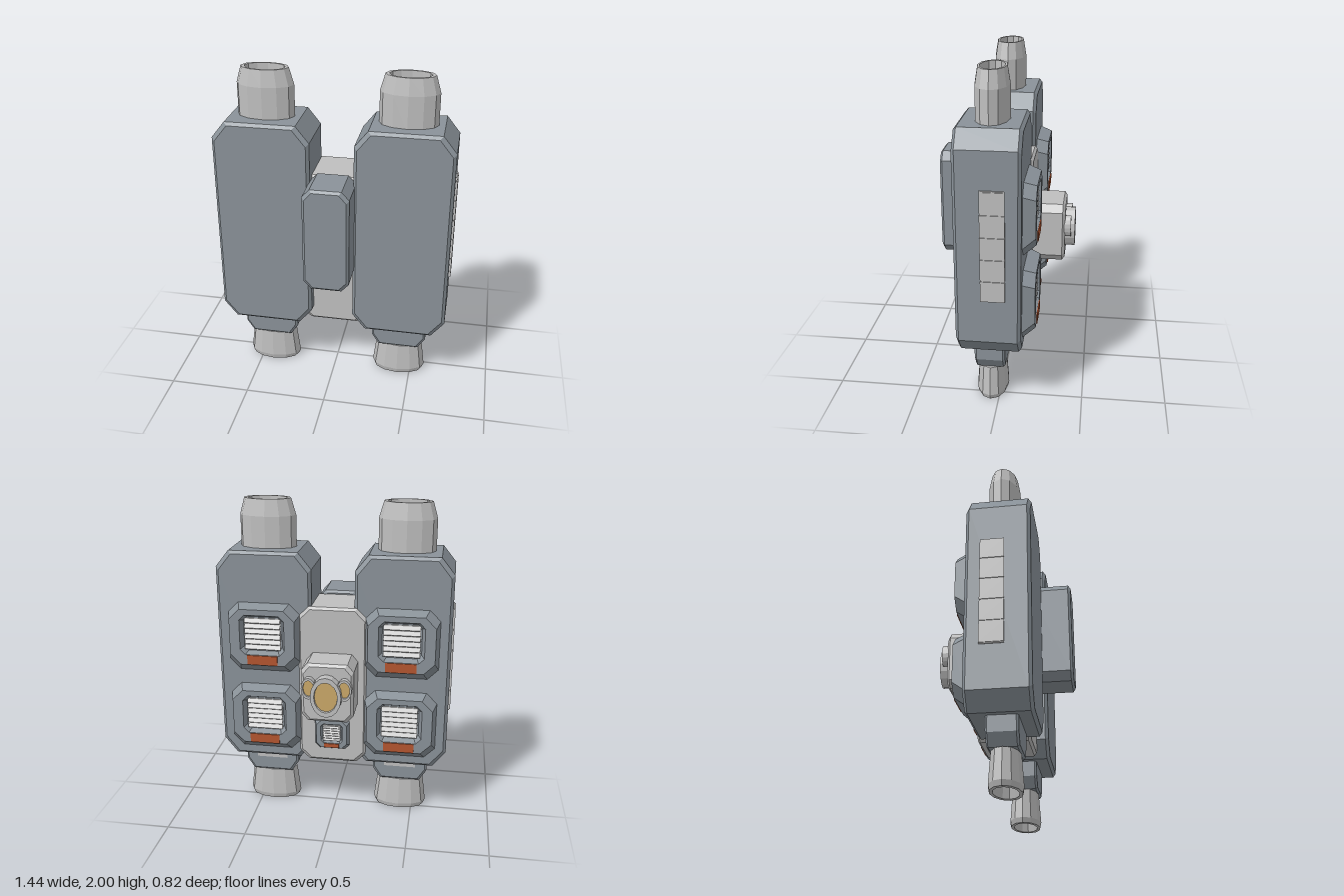
import * as THREE from 'three';

const mat = (name, color) => {
  const m = new THREE.MeshStandardMaterial({ color });
  m.name = name;
  return m;
};

// Octagon loop (rectangle with cut corners), counter-clockwise seen from +z
function oct(x0, x1, y0, y1, cx, cy, z) {
  return [
    [x0 + cx, y0, z], [x1 - cx, y0, z], [x1, y0 + cy, z], [x1, y1 - cy, z],
    [x1 - cx, y1, z], [x0 + cx, y1, z], [x0, y1 - cy, z], [x0, y0 + cy, z],
  ];
}

// Flat-shaded skin over a row of loops, capped at both ends
function loft(loops) {
  const p = [];
  const n = loops[0].length;
  const tri = (a, b, c) => p.push(...a, ...b, ...c);
  for (let k = 0; k + 1 < loops.length; k++) {
    const a = loops[k], b = loops[k + 1];
    for (let i = 0; i < n; i++) {
      const j = (i + 1) % n;
      tri(a[i], a[j], b[j]);
      tri(a[i], b[j], b[i]);
    }
  }
  const first = loops[0], last = loops[loops.length - 1];
  for (let i = 1; i + 1 < n; i++) {
    tri(first[0], first[i + 1], first[i]);
    tri(last[0], last[i], last[i + 1]);
  }
  const g = new THREE.BufferGeometry();
  g.setAttribute('position', new THREE.Float32BufferAttribute(p, 3));
  g.computeVertexNormals();
  return g;
}

// Octagonal block with a bevel b at its back and front ends
function block(x0, x1, y0, y1, cx, cy, z0, z1, b) {
  const inner = z => oct(x0 + b, x1 - b, y0 + b, y1 - b, cx, cy, z);
  const outer = z => oct(x0, x1, y0, y1, cx, cy, z);
  return loft([inner(z0), outer(z0 + b), outer(z1 - b), inner(z1)]);
}

// Faceted turned shape
function turned(points, segments = 12) {
  const g = new THREE.LatheGeometry(points.map(q => new THREE.Vector2(...q)), segments).toNonIndexed();
  g.computeVertexNormals();
  return g;
}

export function createModel() {
  const root = new THREE.Group();
  root.name = 'thrusterPack';

  const hull = mat('blue grey hull', 0x8a9299);
  const light = mat('light grey metal', 0xbfbfbf);
  const gold = mat('amber glass', 0xcaa868);
  const orange = mat('orange marking', 0xb4552f);
  const teal = mat('teal glow', 0x1f8296);

  const add = (parent, name, geometry, material, x = 0, y = 0, z = 0) => {
    const m = new THREE.Mesh(geometry, material);
    m.name = name;
    m.position.set(x, y, z);
    parent.add(m);
    return m;
  };

  // Recessed louvre vent, built facing +z then turned to the back
  function vent(name, x, y, z, o) {
    const g = new THREE.Group();
    g.name = name;
    g.position.set(x, y, z);
    g.rotation.y = Math.PI;
    const { w, top, bottom, slopeX, slopeTop, slopeBottom, depth, cut, hw, hh, hy } = o;
    const fw = w - slopeX, d = depth;
    add(g, 'ventHousing', loft([
      oct(-w, w, -bottom, top, cut, cut, 0),
      oct(-fw, fw, -bottom + slopeBottom, top - slopeTop, cut, cut, d),
      oct(-hw, hw, hy - hh, hy + hh, cut * 0.5, cut * 0.5, d),
      oct(-hw * 0.86, hw * 0.86, hy - hh * 0.86, hy + hh * 0.86, cut * 0.4, cut * 0.4, d * 0.5),
    ]), hull);
    add(g, 'ventBackPlate', new THREE.BoxGeometry(hw * 1.6, hh * 1.6, 0.006), light, 0, hy, d * 0.5 + 0.003);
    const slats = 6, step = hh * 1.6 / slats;
    for (let i = 0; i < slats; i++) {
      const s = add(g, 'ventSlat', new THREE.BoxGeometry(hw * 1.6, step * 0.75, 0.01), light,
        0, hy + (i - (slats - 1) / 2) * step, d * 0.5 + 0.016);
      s.rotation.x = -0.6;
    }
    // Marking strip between the opening and the lower edge
    const y0 = -bottom + slopeBottom + 0.003, y1 = hy - hh - 0.003;
    add(g, 'ventMarking', new THREE.BoxGeometry(hw * 1.36, y1 - y0, 0.008), orange, 0, (y0 + y1) / 2, d + 0.002);
    root.add(g);
  }

  const podVent = {
    w: 0.222, top: 0.215, bottom: 0.22, slopeX: 0.022, slopeTop: 0.025, slopeBottom: 0.06,
    depth: 0.075, cut: 0.065, hw: 0.137, hh: 0.125, hy: 0.03,
  };
  const coreVent = {
    w: 0.11, top: 0.11, bottom: 0.11, slopeX: 0.015, slopeTop: 0.015, slopeBottom: 0.022,
    depth: 0.04, cut: 0.03, hw: 0.068, hh: 0.064, hy: 0.008,
  };

  for (const side of [1, -1]) {
    const label = side > 0 ? 'left' : 'right';
    const cx = 0.42 * side, cz = 0.045;

    // Main tank with cut corners
    add(root, label + 'Tank', block(-0.29, 0.29, 0.375, 1.71, 0.08, 0.1, -0.145, 0.228, 0.018), hull, cx);

    // Upper intake: hollow oval sleeve with amber floor
    const intake = add(root, label + 'Intake', turned([
      [0.172, 1.69], [0.172, 1.9], [0.143, 2], [0.122, 2], [0.115, 1.75],
    ]), light, cx, 0, cz - 0.003);
    intake.scale.z = 0.57;
    const floor = add(root, label + 'IntakeFloor',
      new THREE.CircleGeometry(0.118, 24).rotateX(-Math.PI / 2), gold, cx, 1.76, cz - 0.003);
    floor.scale.z = 0.57;

    // Nozzle bracket with a small slot plate at the back
    add(root, label + 'Bracket', block(-0.173, 0.173, 0.212, 0.46, 0.045, 0.07, -0.04, 0.14, 0.012), hull, cx);
    add(root, label + 'BracketSlot', new THREE.BoxGeometry(0.2, 0.03, 0.009), light, cx, 0.325, -0.043);

    // Lower exhaust nozzle with glowing core
    const nozzle = add(root, label + 'Nozzle', turned([
      [0.1, 0.12], [0.125, 0], [0.158, 0], [0.17, 0.03], [0.147, 0.21], [0, 0.212],
    ]), light, cx, 0, cz + 0.005);
    nozzle.scale.z = 0.57;
    const glow = add(root, label + 'NozzleGlow',
      new THREE.CircleGeometry(0.115, 24).rotateX(Math.PI / 2), teal, cx, 0.09, cz + 0.005);
    glow.scale.z = 0.57;

    // Segmented side strip
    add(root, label + 'SideStrip', new THREE.BoxGeometry(0.008, 0.655, 0.138), light, 0.713 * side, 1.063, 0.011);
    for (let i = 0; i < 5; i++) {
      add(root, label + 'SidePanel', new THREE.BoxGeometry(0.012, 0.119, 0.138), light,
        0.716 * side, 0.801 + i * 0.131, 0.011);
    }

    // Two vents on the back of each tank
    vent(label + 'UpperVent', cx, 1.185, -0.143, podVent);
    vent(label + 'LowerVent', cx, 0.66, -0.143, podVent);
  }

  // Central core, front box and back vent
  add(root, 'core', block(-0.21, 0.21, 0.375, 1.39, 0.06, 0.06, -0.158, 0.155, 0.015), light);
  add(root, 'frontBox', block(-0.138, 0.138, 0.757, 1.41, 0.045, 0.05, 0.148, 0.41, 0.015), hull);
  vent('coreVent', 0, 0.575, -0.156, coreVent);

  // Sensor housing with one large and two small oval lenses
  add(root, 'sensorHousing', block(-0.157, 0.157, 0.738, 1.105, 0.038, 0.045, -0.355, -0.14, 0.016), light);
  function lens(name, x, y, r, squash, length) {
    const g = new THREE.Group();
    g.name = name;
    g.position.set(x, y, -0.35);
    g.rotation.x = -Math.PI / 2;
    g.scale.x = squash;
    add(g, 'lensRing', turned([[r, 0], [r, length], [r * 0.76, length], [r * 0.72, length - 0.02]], 16), light);
    add(g, 'lensGlass', new THREE.CircleGeometry(r * 0.75, 24).rotateX(-Math.PI / 2), gold, 0, length - 0.012, 0);
    root.add(g);
  }
  lens('mainLens', 0, 0.92, 0.125, 0.74, 0.063);
  lens('leftLens', 0.106, 0.962, 0.067, 0.66, 0.04);
  lens('rightLens', -0.106, 0.962, 0.067, 0.66, 0.04);

  return root;
}
